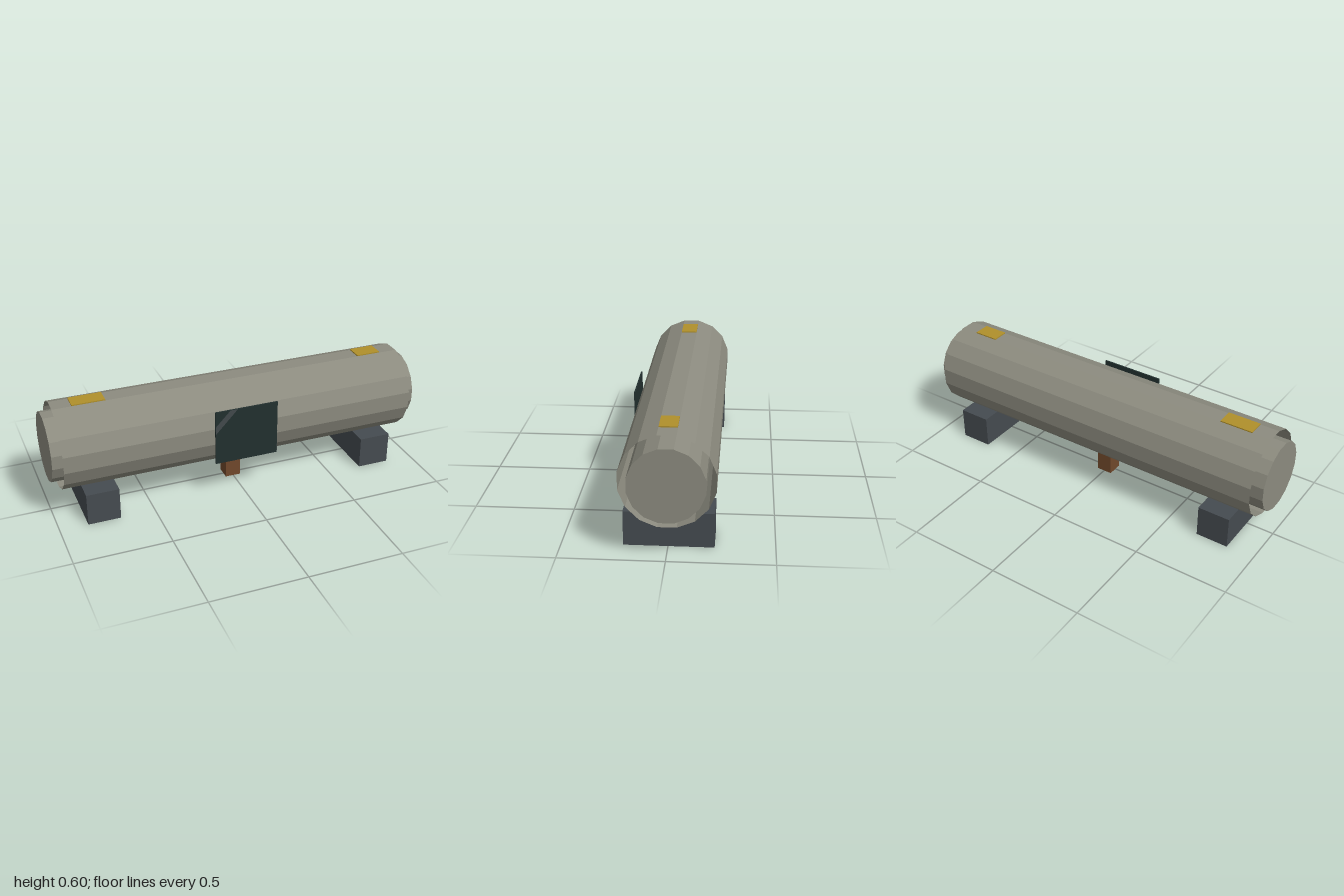
import * as THREE from 'three';

const mat = (name, color, extra = {}) =>
  Object.assign(new THREE.MeshStandardMaterial({ color, ...extra }), { name });

export function createModel() {
  const model = new THREE.Group();
  model.name = 'horizontalTank';

  const shell = mat('tank grey', 0x8c8b7f, { flatShading: true, side: THREE.DoubleSide });
  const slate = mat('slate', 0x454b50);
  const brown = mat('rust brown', 0x70482b);
  const yellow = mat('marker yellow', 0xb0902b);
  const dark = mat('dark panel', 0x22302f);
  const sheen = mat('panel stripe grey', 0x42494b);

  const CY = 0.37, CZ = -0.004;

  const add = (name, geometry, material) => {
    const mesh = new THREE.Mesh(geometry, material);
    mesh.name = name;
    model.add(mesh);
    return mesh;
  };
  // Box given by its limits on each axis
  const box = (name, material, [x0, x1], [y0, y1], [z0, z1]) =>
    add(name, new THREE.BoxGeometry(x1 - x0, y1 - y0, z1 - z0), material)
      .position.set((x0 + x1) / 2, (y0 + y1) / 2, (z0 + z1) / 2);
  // Sixteen-sided drum along x with a flat side on top
  const drum = (name, radius, length, open) => {
    const g = new THREE.CylinderGeometry(radius, radius, length, 16, 1, open);
    g.rotateY(Math.PI / 16).rotateZ(Math.PI / 2);
    add(name, g, shell).position.set(0, CY, CZ);
  };

  // Open outer jacket around a narrower, closed core
  drum('outerJacket', 0.2265, 1.905, true);
  drum('innerCore', 0.181, 2, false);

  // Support blocks and centre post
  const across = [-0.217, 0.21];
  box('rightSupport', slate, [-0.853, -0.682], [0, 0.172], across);
  box('leftSupport', slate, [0.682, 0.853], [0, 0.172], across);
  box('centrePost', brown, [-0.043, 0.041], [0, 0.172], [-0.046, 0.038]);

  // Marker plates on top
  const plateY = [0.583, 0.598], plateZ = [-0.047, 0.039];
  box('rightMarker', yellow, [-0.853, -0.682], plateY, plateZ);
  box('leftMarker', yellow, [0.72, 0.853], plateY, plateZ);

  // Front panel with a diagonal stripe and a lighter lower edge
  box('frontPanel', dark, [-0.17, 0.17], [0.215, 0.513], [0.219, 0.227]);
  const stripe = new THREE.Shape([
    [-0.17, 0.387], [-0.05, 0.513], [-0.09, 0.513], [-0.17, 0.43],
  ].map(([x, y]) => new THREE.Vector2(x, y)));
  add('panelStripe', new THREE.ShapeGeometry(stripe), sheen).position.z = 0.2285;
  box('panelEdge', sheen, [0.17, 0.171], [0.215, 0.343], [0.219, 0.227]);

  return model;
}
